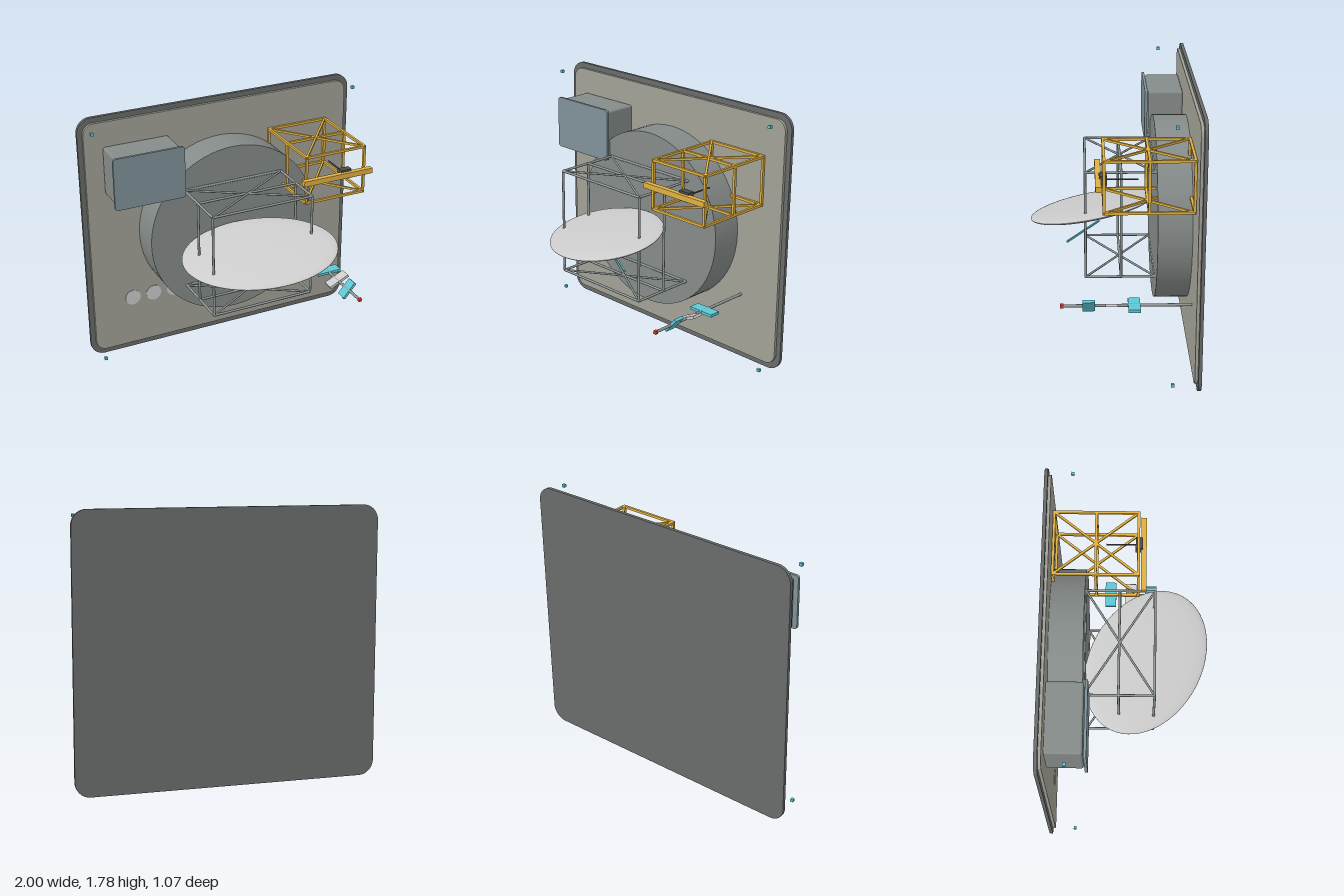
import * as THREE from 'three';
import { RoundedBoxGeometry } from 'three/addons/geometries/RoundedBoxGeometry.js';

const mat = (color) => new THREE.MeshStandardMaterial({ color });
const dark = mat(0x686b6a), stone = mat(0xa2a196), slate = mat(0x858b89), blue = mat(0x7f9299);
const steel = mat(0x8c9494), pale = mat(0xcccccc), gold = mat(0xe0b040), teal = mat(0x5cc8d6);
const red = mat(0xd8402c), black = mat(0x4a4c4a);

function add(parent, name, geometry, material, x = 0, y = 0, z = 0) {
  const mesh = new THREE.Mesh(geometry, material);
  mesh.name = name;
  mesh.position.set(x, y, z);
  parent.add(mesh);
  return mesh;
}

const box = (w, h, d) => new THREE.BoxGeometry(w, h, d);

// Rounded rectangle slab whose back face lies at z = 0
function slab(w, h, r, depth) {
  const s = new THREE.Shape(), x = w / 2, y = h / 2;
  s.moveTo(-x + r, -y);
  s.lineTo(x - r, -y);
  s.absarc(x - r, -y + r, r, -Math.PI / 2, 0);
  s.absarc(x - r, y - r, r, 0, Math.PI / 2);
  s.absarc(-x + r, y - r, r, Math.PI / 2, Math.PI);
  s.absarc(-x + r, -y + r, r, Math.PI, Math.PI * 1.5);
  return new THREE.ExtrudeGeometry(s, { depth, bevelEnabled: false, curveSegments: 10 });
}

// Disc or rod along z, between two depths
function zRod(parent, name, r, x, y, z0, z1, material, sides = 16) {
  const g = new THREE.CylinderGeometry(r, r, z1 - z0, sides).rotateX(Math.PI / 2);
  return add(parent, name, g, material, x, y, (z0 + z1) / 2);
}

// Strut between two points, round or square in section
function strut(parent, name, a, b, size, material, square) {
  const p = new THREE.Vector3(...a), q = new THREE.Vector3(...b);
  const len = p.distanceTo(q);
  const g = square ? box(size, size, len + size) : new THREE.CylinderGeometry(size / 2, size / 2, len, 10).rotateX(Math.PI / 2);
  const m = add(parent, name, g, material);
  m.position.copy(p).add(q).multiplyScalar(0.5);
  m.lookAt(q);
}

// Open cage: rails, posts, cross bars and crossed braces above and below
function cage(parent, name, [x0, x1], [y0, y1], [zb, zm, zf], size, material, square, backPosts) {
  const g = new THREE.Group();
  g.name = name;
  const s = (part, a, b, k = 1) => strut(g, part, a, b, size * k, material, square);
  for (const y of [y0, y1]) {
    for (const x of [x0, x1]) s('sideRail', [x, y, zb], [x, y, zf]);
    for (const z of [zb, zm, zf]) s('crossBar', [x0, y, z], [x1, y, z]);
    s('brace', [x0, y, zb], [x1, y, zf], 0.85);
    s('brace', [x1, y, zb], [x0, y, zf], 0.85);
  }
  for (const x of [x0, x1])
    for (const z of backPosts ? [zb, zm, zf] : [zm, zf]) s('post', [x, y0, z], [x, y1, z]);
  parent.add(g);
}

export function createModel() {
  const model = new THREE.Group();
  model.name = 'instrumentPanel';

  // Back plate, facing panel and drum
  add(model, 'backPlate', slab(2, 1.78, 0.1, 0.022), dark, 0, 0.89, -0.537);
  add(model, 'facePanel', slab(1.93, 1.7, 0.075, 0.02), stone, 0, 0.893, -0.516);
  zRod(model, 'drum', 0.61, 0, 0.893, -0.5, -0.277, slate, 72);

  // Row of small discs beside the drum
  for (let i = 0; i < 3; i++)
    zRod(model, 'smallDisc', 0.056, -0.68 + i * 0.155, 0.405, -0.505, -0.492, pale, 32);

  // Upper cabinet with its cover
  add(model, 'cabinet', new RoundedBoxGeometry(0.46, 0.335, 0.235, 3, 0.015), slate, -0.61, 1.406, -0.38);
  add(model, 'cabinetCover', slab(0.496, 0.362, 0.02, 0.018), blue, -0.615, 1.406, -0.256);

  // Tilted flattened body: turned about y, then sheared to slope
  const slope = new THREE.Matrix4().set(1, 0, 0, 0, 0.18, 1, -0.125, 0, 0, 0, 1, 0, 0, 0, 0, 1);
  const body = new THREE.SphereGeometry(1, 64, 40).scale(0.518, 0.042, 0.367).rotateY(-Math.PI / 6);
  add(model, 'flatBody', body.applyMatrix4(slope), pale, -0.003, 0.893, 0.122);

  // Slim rod under the body
  strut(model, 'lowerRod', [-0.01, 0.78, 0.085], [0.34, 0.78, 0.29], 0.011, teal, true);

  // Central cage and side cage
  cage(model, 'centralCage', [-0.362, 0.356], [0.534, 1.254], [-0.277, -0.056, 0.174], 0.017, steel, false, false);
  cage(model, 'sideCage', [0.37, 0.807], [1.152, 1.48], [-0.485, -0.212, 0.062], 0.017, gold, true, true);

  // Beam on the side cage with its motor and shaft
  add(model, 'beam', box(0.517, 0.037, 0.036), gold, 0.588, 1.317, 0.097);
  add(model, 'motor', box(0.08, 0.064, 0.048), black, 0.658, 1.317, 0.067);
  zRod(model, 'motorShaft', 0.005, 0.658, 1.317, -0.15, 0.05, black);

  // Mast with turned blades and a tip
  const mast = new THREE.Group();
  mast.name = 'mast';
  mast.position.set(0.66, 0.471, 0);
  model.add(mast);
  zRod(mast, 'mastRod', 0.01, 0, 0, -0.495, 0.318, steel);
  [[0.182, 0, -0.13, teal], [0.156, 25, 0.015, pale], [0.13, 50, 0.158, teal]].forEach(([w, deg, z, m]) => {
    add(mast, 'blade', box(w, 0.019, 0.077), m, 0, 0, z).rotation.z = THREE.MathUtils.degToRad(deg);
  });
  add(mast, 'mastTip', box(0.022, 0.022, 0.022), red, 0, 0, 0.328);

  // Corner markers in front of the panel
  for (const x of [-0.95, 0.95])
    for (const y of [0.056, 1.733]) add(model, 'cornerMarker', box(0.02, 0.02, 0.02), teal, x, y, -0.36);

  return model;
}
